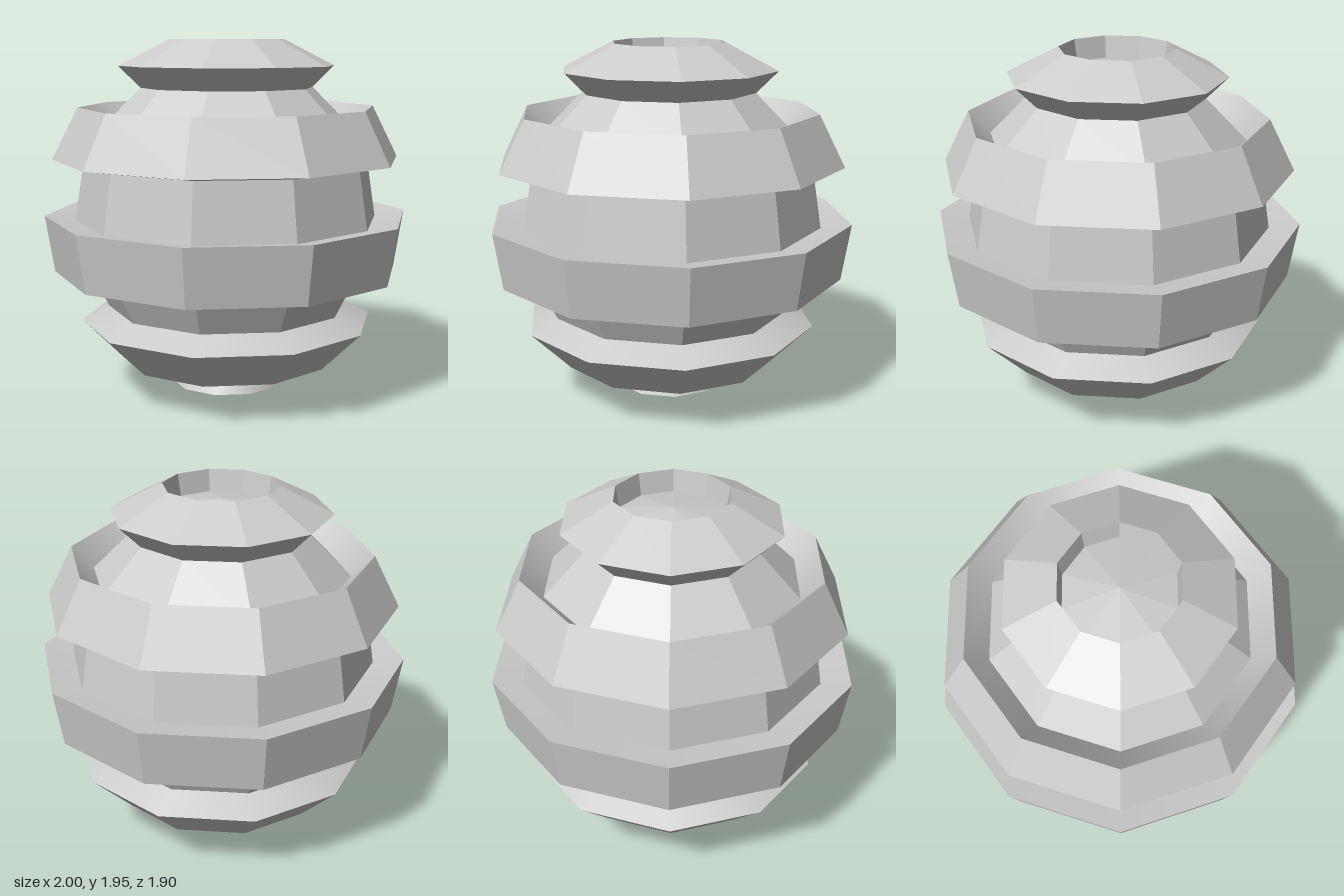
import * as THREE from 'three';

const SIDES = 10;
const RINGS = 10;
// Depth of each sunken band, bottom to top
const DEPTHS = [0.063, 0.168, 0.168, 0.166, 0.12];

const flat = new THREE.MeshStandardMaterial({ color: 0xcccccc, flatShading: true });
const smooth = new THREE.MeshStandardMaterial({ color: 0xcccccc });

// One ten-sided band swept between two profile points, lower point first
function band(name, a, b, material) {
  const geometry = new THREE.LatheGeometry([a, b], SIDES, Math.PI / 2);
  const mesh = new THREE.Mesh(geometry, material);
  mesh.name = name;
  return mesh;
}

// Point on the unit sphere's profile, counted up from the bottom pole
function ringPoint(i) {
  const t = (i * Math.PI) / RINGS;
  return new THREE.Vector2(i % RINGS ? Math.sin(t) : 0, 1 - Math.cos(t));
}

export function createModel() {
  const model = new THREE.Group();
  model.name = 'groovedSphere';

  for (let i = 0; i < RINGS; i++) {
    const a = ringPoint(i);
    const b = ringPoint(i + 1);

    // Even bands stay on the sphere
    if (i % 2 === 0) {
      model.add(band('raisedBand', a, b, flat));
      continue;
    }

    // Odd bands are pushed straight inward along their slope's normal
    const d = DEPTHS[(i - 1) / 2];
    const shift = new THREE.Vector2(a.y - b.y, b.x - a.x).normalize().multiplyScalar(d);
    const a2 = a.clone().add(shift);
    const b2 = b.clone().add(shift);
    const isCap = i === RINGS - 1;
    if (isCap) b2.set(0, b.y - d);

    model.add(band('lowerGrooveWall', a, a2, isCap ? flat : smooth));
    model.add(band(isCap ? 'sunkenCap' : 'sunkenBand', a2, b2, flat));
    if (!isCap) model.add(band('upperGrooveWall', b2, b, smooth));
  }
  return model;
}
